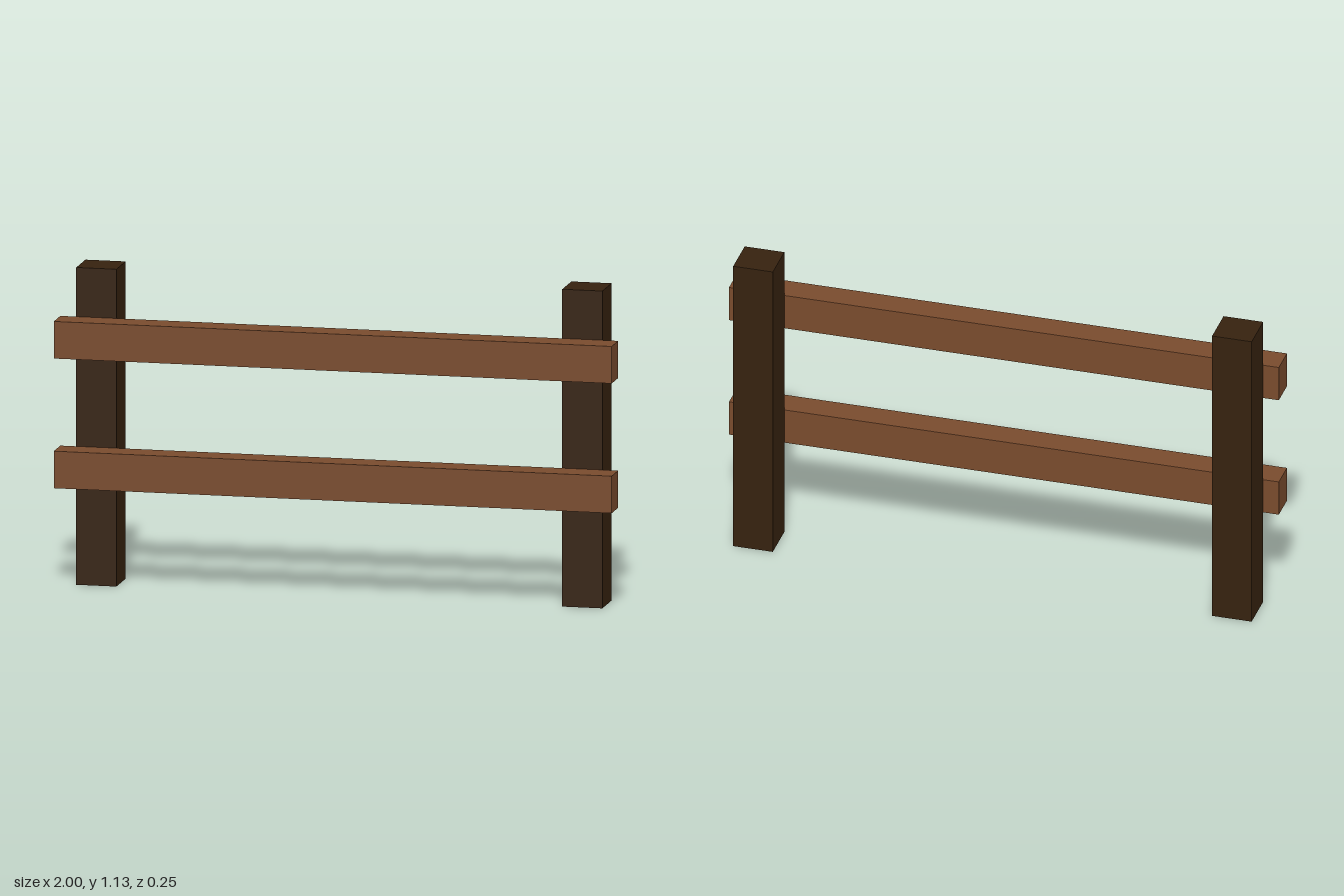
import * as THREE from 'three';

const postWood = new THREE.MeshStandardMaterial({ color: 0x36220f });
postWood.name = 'dark post wood';
const railWood = new THREE.MeshStandardMaterial({ color: 0x794b2d });
railWood.name = 'brown rail wood';

function beam(name, size, position, material) {
  const mesh = new THREE.Mesh(new THREE.BoxGeometry(...size), material);
  mesh.name = name;
  mesh.position.set(...position);
  return mesh;
}

export function createModel() {
  const fence = new THREE.Group();
  fence.name = 'fence';

  // Square posts, mirrored left and right
  for (const [side, sign] of [['left', 1], ['right', -1]]) {
    fence.add(beam(`${side}Post`, [0.144, 1.13, 0.144], [sign * 0.871, 0.565, -0.051], postWood));
  }

  // Horizontal rails resting against the front of the posts
  for (const [level, y] of [['lower', 0.427], ['upper', 0.889]]) {
    fence.add(beam(`${level}Rail`, [2, 0.132, 0.102], [0, y, 0.072], railWood));
  }

  return fence;
}
